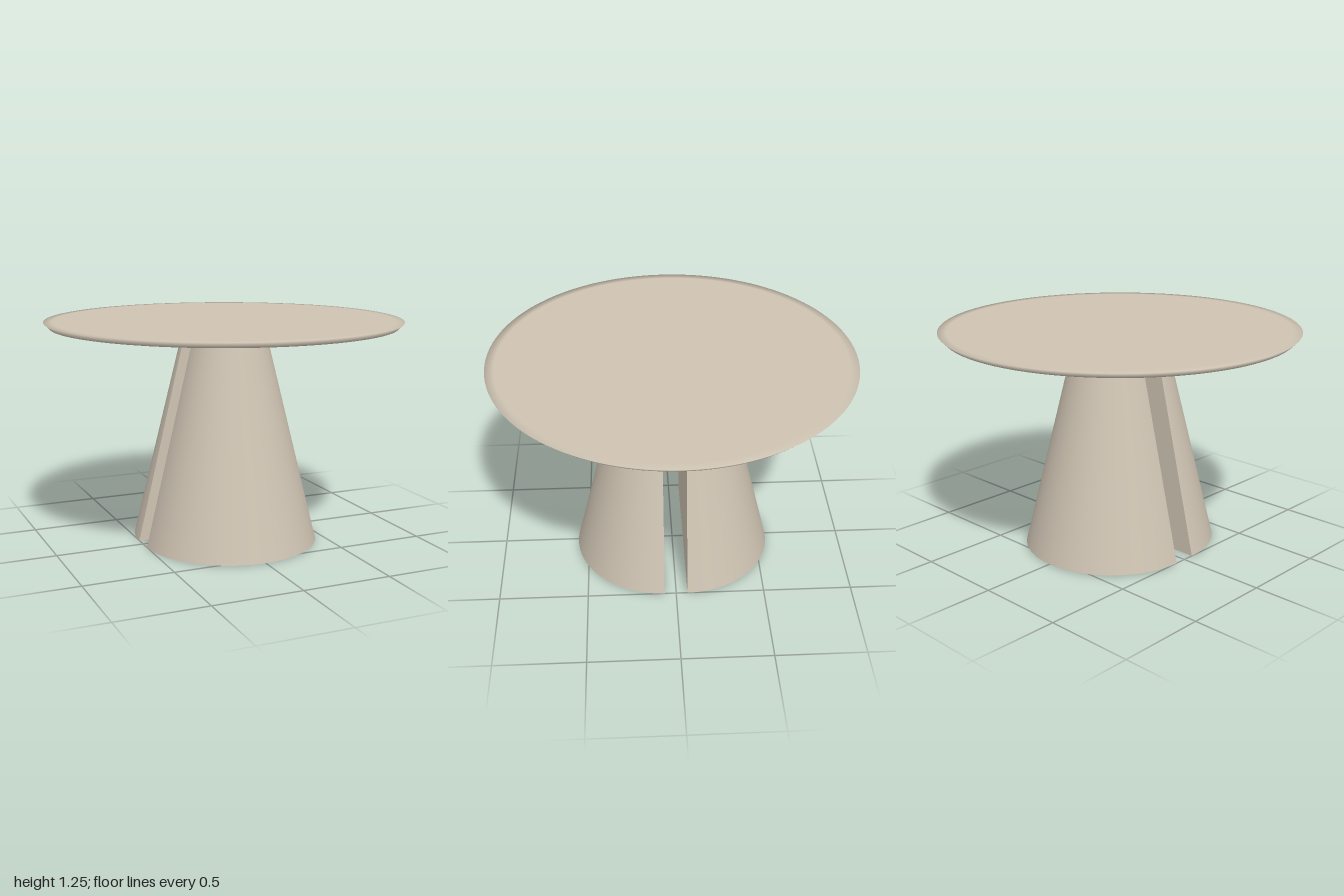
import * as THREE from 'three';

export function createModel() {
  const table = new THREE.Group();
  table.name = 'pedestalTable';
  const beige = new THREE.MeshStandardMaterial({ color: 0xcfc4b3 });
  beige.name = 'warm beige';

  const UNDERSIDE = 1.225, TOP = 1.255;
  const R_BOTTOM = 0.5, R_TOP = 0.2, HALF_GAP = 0.065;

  // Thin round top with an undercut bevel; its rim blends softly into the top face
  const profile = [[0, UNDERSIDE], [0.93, UNDERSIDE], [0.97, UNDERSIDE], [1, TOP], [0.95, TOP], [0, TOP]]
    .map(([r, y]) => new THREE.Vector2(r, y));
  const top = new THREE.Mesh(new THREE.LatheGeometry(profile, 128), beige);
  top.name = 'tableTop';
  table.add(top);

  // Half cone: curved shell with end caps, closed by a flat inner wall
  const shell = new THREE.CylinderGeometry(R_TOP, R_BOTTOM, UNDERSIDE, 64, 1, false, -Math.PI / 2, Math.PI);
  shell.translate(0, UNDERSIDE / 2, 0);
  const wall = new THREE.ShapeGeometry(new THREE.Shape([
    new THREE.Vector2(-R_BOTTOM, 0), new THREE.Vector2(R_BOTTOM, 0),
    new THREE.Vector2(R_TOP, UNDERSIDE), new THREE.Vector2(-R_TOP, UNDERSIDE),
  ]));
  wall.rotateY(Math.PI);

  // Two matching halves, separated by a slot running left to right
  for (const [name, angle] of [['frontBase', 0], ['backBase', Math.PI]]) {
    const half = new THREE.Group();
    half.name = name;
    const curved = new THREE.Mesh(shell, beige);
    curved.name = name + 'Shell';
    const flat = new THREE.Mesh(wall, beige);
    flat.name = name + 'InnerWall';
    half.add(curved, flat);
    half.rotation.y = angle;
    half.position.z = HALF_GAP * Math.cos(angle);
    table.add(half);
  }
  return table;
}
